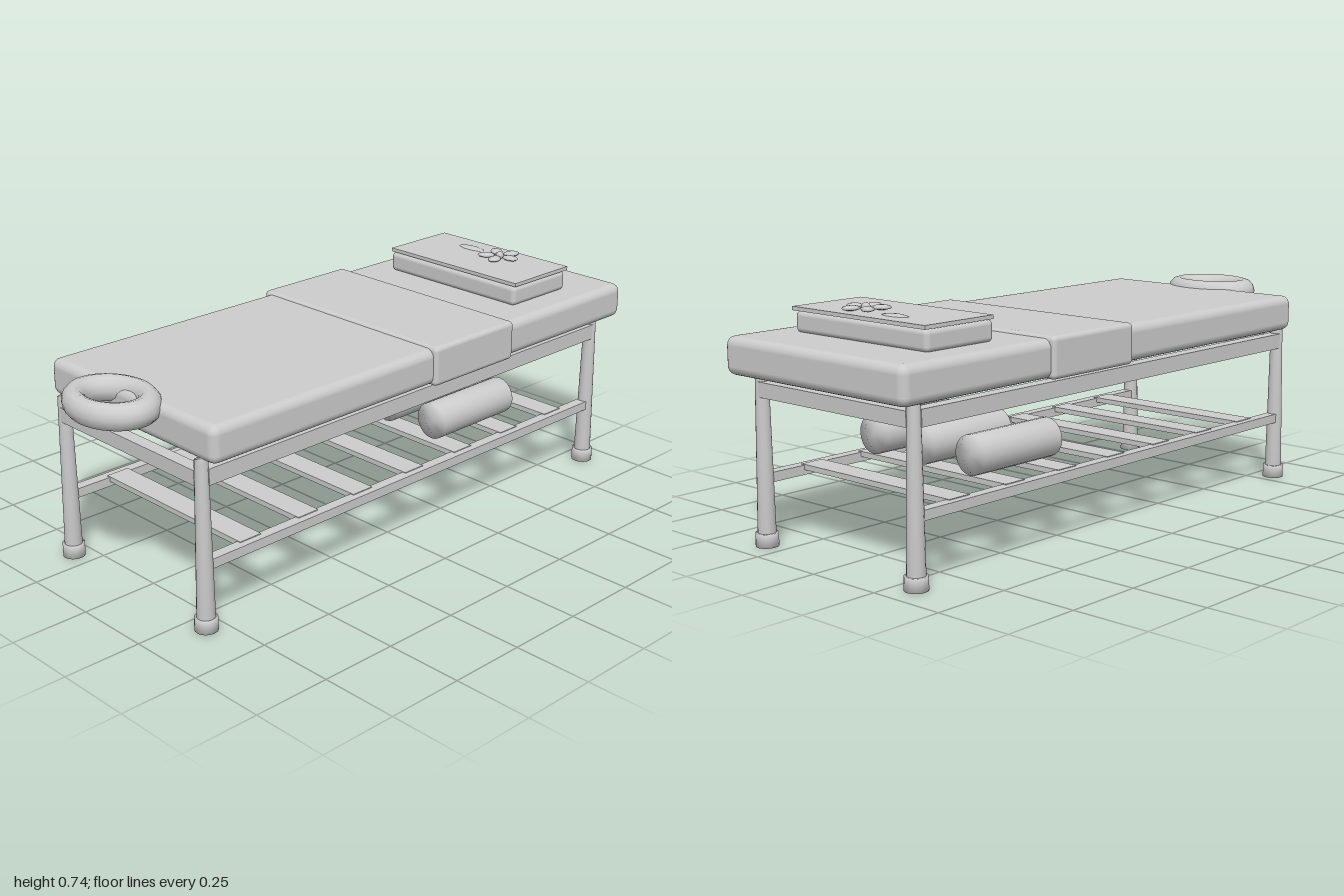
import * as THREE from 'three';
import { mergeVertices } from 'three/addons/utils/BufferGeometryUtils.js';
import { RoundedBoxGeometry } from 'three/addons/geometries/RoundedBoxGeometry.js';

// Weld a geometry so shading flows over its rims
function soft(geometry) {
  geometry.deleteAttribute('uv');
  geometry.deleteAttribute('normal');
  const welded = mergeVertices(geometry, 1e-4);
  welded.computeVertexNormals();
  return welded;
}

export function createModel() {
  const model = new THREE.Group();
  model.name = 'massageTable';
  const grey = new THREE.MeshStandardMaterial({ color: 0xcccccc });
  grey.name = 'light grey';

  const add = (name, geometry, x, y, z, parent = model) => {
    const mesh = new THREE.Mesh(geometry, grey);
    mesh.name = name;
    mesh.position.set(x, y, z);
    parent.add(mesh);
    return mesh;
  };
  const box = (name, w, h, d, x, y, z) => add(name, new THREE.BoxGeometry(w, h, d), x, y, z);
  const cushion = (name, w, h, d, r, x, y, z) =>
    add(name, new RoundedBoxGeometry(w, h, d, 3, r), x, y, z);

  // Upholstery, folded sheet and pillow
  cushion('mattress', 0.756, 0.116, 1.81, 0.028, 0, 0.581, -0.092);
  cushion('sheet', 0.78, 0.127, 0.362, 0.015, 0, 0.584, -0.239);
  cushion('pillow', 0.554, 0.066, 0.265, 0.016, 0, 0.669, -0.68);
  box('towel', 0.556, 0.012, 0.268, 0, 0.709, -0.686);

  // Ring-shaped face rest
  const ring = new THREE.TorusGeometry(0.123, 0.041, 12, 32);
  ring.rotateX(Math.PI / 2);
  ring.scale(1, 1, 0.79);
  add('faceRest', ring, 0, 0.623, 0.866);

  // Legs, feet and end rails
  const legX = 0.32, frontZ = 0.81, backZ = -0.907;
  const midZ = (frontZ + backZ) / 2, span = frontZ - backZ;
  const legGeometry = soft(new THREE.CylinderGeometry(0.02, 0.028, 0.49, 16));
  const footGeometry = soft(new THREE.CylinderGeometry(0.035, 0.035, 0.042, 16));
  for (const z of [frontZ, backZ]) {
    for (const side of [-1, 1]) {
      add('leg', legGeometry, side * legX, 0.285, z);
      add('foot', footGeometry, side * legX, 0.021, z);
    }
    box('endRail', 0.624, 0.046, 0.042, 0, 0.478, z);
  }

  // Side rails and the slatted shelf
  for (const side of [-1, 1]) {
    box('sideRail', 0.042, 0.05, span - 0.02, side * legX, 0.48, midZ);
    box('shelfRail', 0.036, 0.03, span - 0.02, side * legX, 0.21, midZ);
  }
  for (let i = 0; i < 7; i++) {
    box('slat', 0.63, 0.017, 0.08, 0, 0.219, 0.633 - i * 0.2275);
  }

  // Bolsters stored on the shelf
  const bolster = soft(new THREE.CylinderGeometry(0.061, 0.061, 0.332, 20).rotateX(Math.PI / 2));
  for (const x of [-0.206, 0, 0.206]) add('bolster', bolster, x, 0.301, -0.411);

  // Flower and leaf on the towel
  const flower = new THREE.Group();
  flower.name = 'flower';
  flower.position.set(0.058, 0.724, -0.73);
  model.add(flower);
  const petal = new THREE.SphereGeometry(1, 10, 6).scale(0.03, 0.008, 0.021);
  for (let i = 0; i < 5; i++) {
    const a = (i / 5) * Math.PI * 2;
    const mesh = add('petal', petal, Math.cos(a) * 0.046, 0, Math.sin(a) * 0.046, flower);
    mesh.rotation.y = -a;
  }
  add('flowerCentre', new THREE.SphereGeometry(0.014, 10, 8), 0, 0, 0, flower);
  add('leaf', new THREE.SphereGeometry(1, 10, 6).scale(0.057, 0.008, 0.023), -0.085, 0.713, -0.749);

  return model;
}
